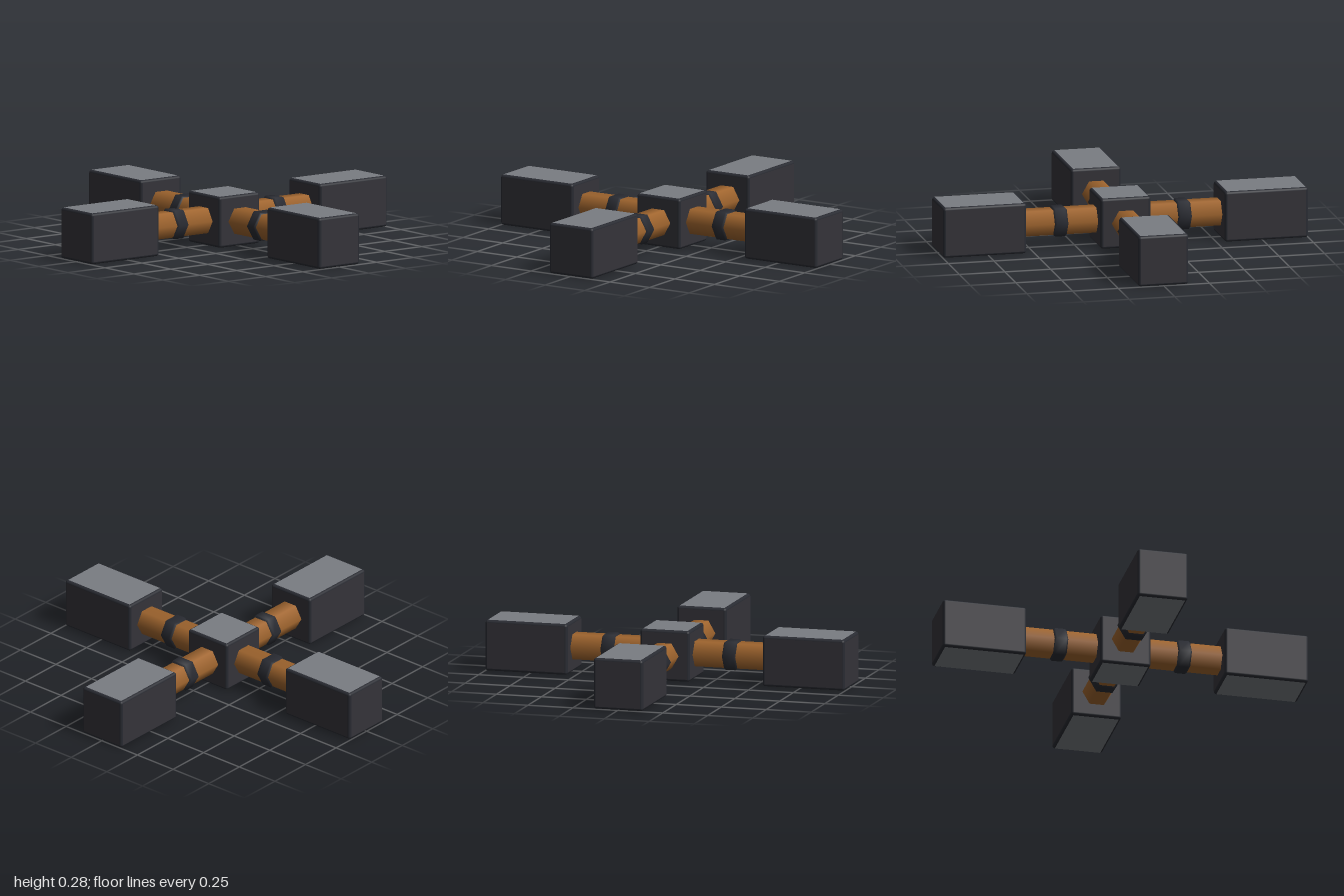
import * as THREE from 'three';
import { RoundedBoxGeometry } from 'three/addons/geometries/RoundedBoxGeometry.js';

const H = 0.276;      // block height and width
const BEVEL = 0.014;  // edge trim of the blocks
const INNER = 0.542;  // where the end blocks begin

const panelMat = new THREE.MeshStandardMaterial({ color: 0x343339 });
panelMat.name = 'dark panel';
const trimMat = new THREE.MeshStandardMaterial({ color: 0x292b32 });
trimMat.name = 'dark trim';
const capMat = new THREE.MeshStandardMaterial({ color: 0x7a7d82 });
capMat.name = 'grey cap';
const rodMat = new THREE.MeshStandardMaterial({ color: 0xa0652e });
rodMat.name = 'brown wood';

function addMesh(parent, geometry, material, name) {
  const mesh = new THREE.Mesh(geometry, material);
  mesh.name = name;
  parent.add(mesh);
  return mesh;
}

// Block with bevelled trim edges, dark sides, grey top and bottom
function makeBlock(length, name) {
  const block = new THREE.Group();
  block.name = name;
  const skin = 0.001;
  const size = [length, H, H].map((s) => s - 2 * skin);
  addMesh(block, new RoundedBoxGeometry(...size, 2, BEVEL), trimMat, 'edgeTrim');
  const inset = (s) => s - 2 * BEVEL;
  for (const s of [1, -1]) {
    const end = addMesh(block, new THREE.PlaneGeometry(inset(H), inset(H)), panelMat, 'endPanel');
    end.rotation.y = s * Math.PI / 2;
    end.position.x = s * length / 2;
    const side = addMesh(block, new THREE.PlaneGeometry(inset(length), inset(H)), panelMat, 'sidePanel');
    side.rotation.y = s > 0 ? 0 : Math.PI;
    side.position.z = s * H / 2;
    const cap = addMesh(block, new THREE.PlaneGeometry(inset(length), inset(H)), capMat,
      s > 0 ? 'topPanel' : 'bottomPanel');
    cap.rotation.x = -s * Math.PI / 2;
    cap.position.y = s * H / 2;
  }
  return block;
}

// Six-sided collar with softly rounded rims, lying along x
function makeCollarGeometry() {
  const w = 0.038, r = 0.088, b = 0.011;
  const profile = [[0.07, -w], [r - b, -w], [r, -w + b], [r, w - b], [r - b, w], [0.07, w]]
    .map(([x, y]) => new THREE.Vector2(x, y));
  return new THREE.LatheGeometry(profile, 6).rotateZ(-Math.PI / 2);
}

// One arm along +x: rod, collar and end block
function makeArm(name) {
  const arm = new THREE.Group();
  arm.name = name;
  const start = 0.12, end = INNER + 0.02;
  const rod = new THREE.CylinderGeometry(0.078, 0.078, end - start, 6).rotateZ(-Math.PI / 2);
  addMesh(arm, rod, rodMat, 'rod').position.x = (start + end) / 2;
  addMesh(arm, makeCollarGeometry(), trimMat, 'collar').position.x = 0.338;
  const block = makeBlock(1 - INNER, 'endBlock');
  block.position.x = (1 + INNER) / 2;
  arm.add(block);
  return arm;
}

export function createModel() {
  const model = new THREE.Group();
  model.name = 'crossFrame';
  const body = new THREE.Group();
  body.name = 'cross';
  body.position.y = H / 2;
  model.add(body);

  body.add(makeBlock(H, 'centreBlock'));
  ['leftArm', 'backArm', 'rightArm', 'frontArm'].forEach((name, i) => {
    const arm = makeArm(name);
    arm.rotation.y = i * Math.PI / 2;
    body.add(arm);
  });
  return model;
}
